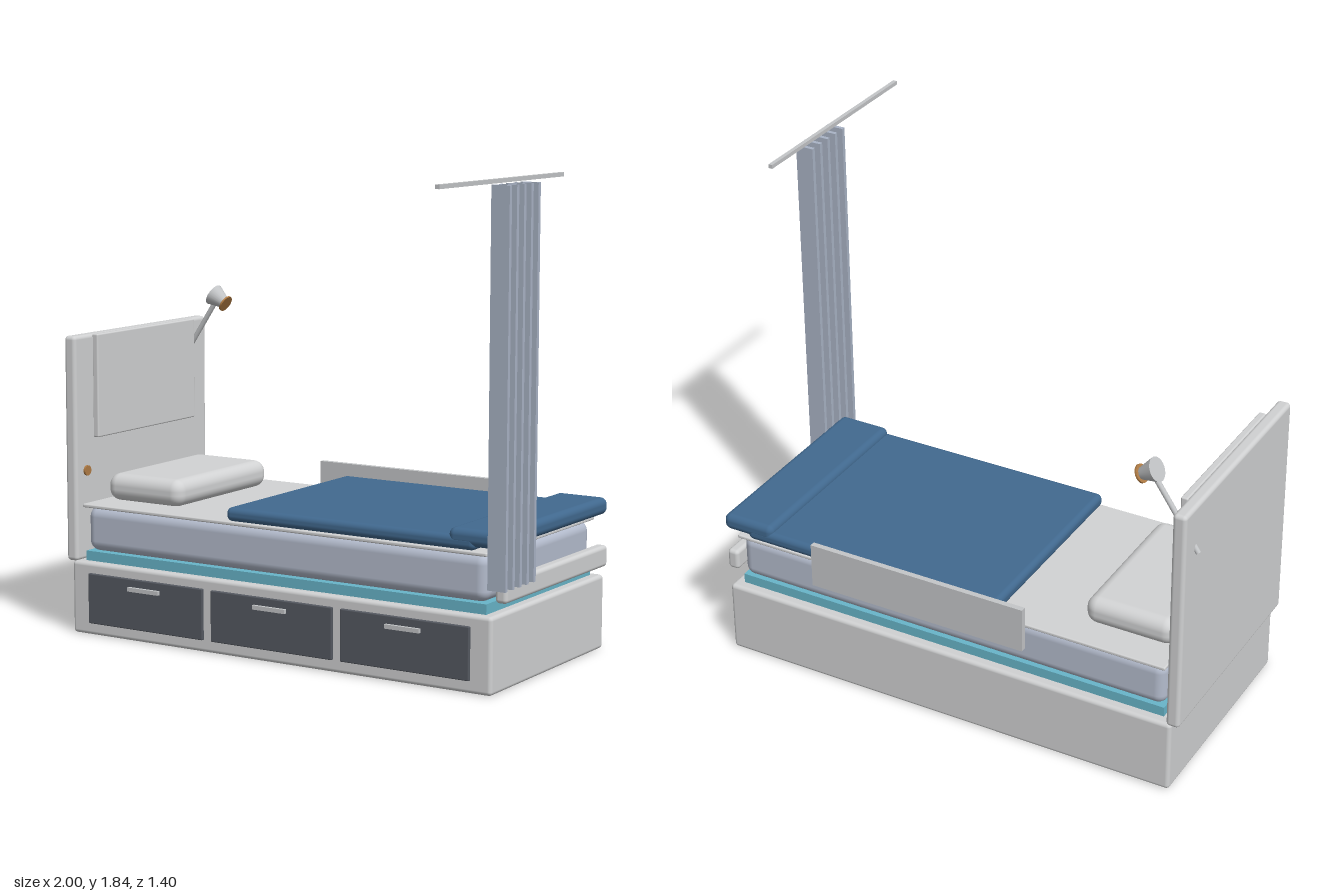
import * as THREE from 'three';
import { RoundedBoxGeometry } from 'three/addons/geometries/RoundedBoxGeometry.js';

const paint = (name, color) => {
  const m = new THREE.MeshStandardMaterial({ color });
  m.name = name;
  return m;
};

export function createModel() {
  const mats = {
    frame: paint('frame grey', 0xd0d1d2),
    linen: paint('linen grey', 0xd2d3d4),
    metal: paint('metal grey', 0xc4c6c8),
    drawer: paint('drawer charcoal', 0x555961),
    mattress: paint('mattress pale blue', 0xb4bccd),
    curtain: paint('curtain blue grey', 0xaab4c6),
    teal: paint('teal platform', 0x68b5c9),
    blanket: paint('blanket blue', 0x41698f),
    copper: paint('copper', 0xb07c45),
  };
  const model = new THREE.Group();
  model.name = 'bed';

  const add = (name, geometry, mat, parent = model) => {
    const mesh = new THREE.Mesh(geometry, mat);
    mesh.name = name;
    parent.add(mesh);
    return mesh;
  };

  // Box given by its [min, max] extents; rounded when a radius is given
  const box = (name, mat, [x0, x1], [y0, y1], [z0, z1], radius = 0, parent = model) => {
    const size = [x1 - x0, y1 - y0, z1 - z0];
    const geometry = radius
      ? new RoundedBoxGeometry(...size, 4, radius)
      : new THREE.BoxGeometry(...size);
    const mesh = add(name, geometry, mat, parent);
    mesh.position.set((x0 + x1) / 2, (y0 + y1) / 2, (z0 + z1) / 2);
    return mesh;
  };

  // Cylinder running between two points
  const rod = (name, mat, a, b, rStart, rEnd, parent) => {
    const dir = b.clone().sub(a);
    const mesh = add(name, new THREE.CylinderGeometry(rEnd, rStart, dir.length(), 24), mat, parent);
    mesh.position.copy(a).add(b).multiplyScalar(0.5);
    mesh.quaternion.setFromUnitVectors(new THREE.Vector3(0, 1, 0), dir.normalize());
    return mesh;
  };

  // Storage base with three drawers
  box('base', mats.frame, [-0.95, 0.915], [0, 0.287], [-0.672, 0.215], 0.015);
  for (const x of [-0.595, -0.016, 0.56]) {
    const drawer = new THREE.Group();
    drawer.name = 'drawer';
    model.add(drawer);
    box('drawerFront', mats.drawer, [x - 0.27, x + 0.27], [0.048, 0.246], [0.205, 0.227], 0.004, drawer);
    box('drawerHandle', mats.metal, [x - 0.072, x + 0.072], [0.2, 0.216], [0.22, 0.24], 0, drawer);
  }

  // Platform, mattress, sheet and pillow
  box('platform', mats.teal, [-0.905, 0.875], [0.28, 0.325], [-0.632, 0.182]);
  box('mattress', mats.mattress, [-0.905, 0.873], [0.325, 0.5], [-0.636, 0.18], 0.04);
  box('sheet', mats.linen, [-0.912, 0.88], [0.498, 0.512], [-0.652, 0.195], 0.005);
  box('pillow', mats.linen, [-0.888, -0.533], [0.51, 0.617], [-0.543, 0.077], 0.046);

  // Blanket with folded foot end
  box('blanket', mats.blanket, [-0.238, 0.83], [0.512, 0.565], [-0.66, 0.195], 0.022);
  box('blanketFold', mats.blanket, [0.72, 0.937], [0.525, 0.59], [-0.66, 0.195], 0.026);

  // Headboard, its padded panel and a small knob
  box('headboard', mats.frame, [-0.982, -0.93], [0.283, 1.167], [-0.673, 0.21], 0.015);
  box('headboardPanel', mats.frame, [-0.934, -0.907], [0.76, 1.167], [-0.56, 0.094], 0.006);
  rod('knob', mats.copper, new THREE.Vector3(-0.935, 0.635, 0.143),
    new THREE.Vector3(-0.922, 0.635, 0.143), 0.02, 0.02);

  // Foot bar and back guard rail
  box('footBar', mats.frame, [0.902, 0.95], [0.33, 0.412], [-0.63, 0.172], 0.015);
  box('guardRail', mats.metal, [-0.37, 0.517], [0.43, 0.607], [-0.702, -0.68]);

  // Reading lamp: slanted arm, tapered shade and copper lens
  const lamp = new THREE.Group();
  lamp.name = 'readingLamp';
  lamp.position.z = -0.585;
  model.add(lamp);
  const shadeBack = new THREE.Vector3(-0.828, 1.268, 0);
  const axis = new THREE.Vector3(0.87, -0.5, 0).normalize();
  const along = (d) => shadeBack.clone().addScaledVector(axis, d);
  rod('lampArm', mats.metal, new THREE.Vector3(-0.992, 0.982, 0),
    new THREE.Vector3(-0.815, 1.245, 0), 0.01, 0.01, lamp);
  rod('lampShade', mats.metal, shadeBack, along(0.066), 0.045, 0.022, lamp);
  rod('lampLens', mats.copper, along(0.064), along(0.071), 0.034, 0.034, lamp);

  // Curtain strips below a ceiling track
  for (let i = 0; i < 5; i++) {
    const z = 0.05 + i * 0.0525;
    box('curtainStrip', mats.curtain, [0.925, 0.997], [0.397, 1.815], [z - 0.008, z + 0.008]);
  }
  box('curtainTrack', mats.metal, [0.952, 0.968], [1.823, 1.838], [-0.187, 0.7]);

  return model;
}
